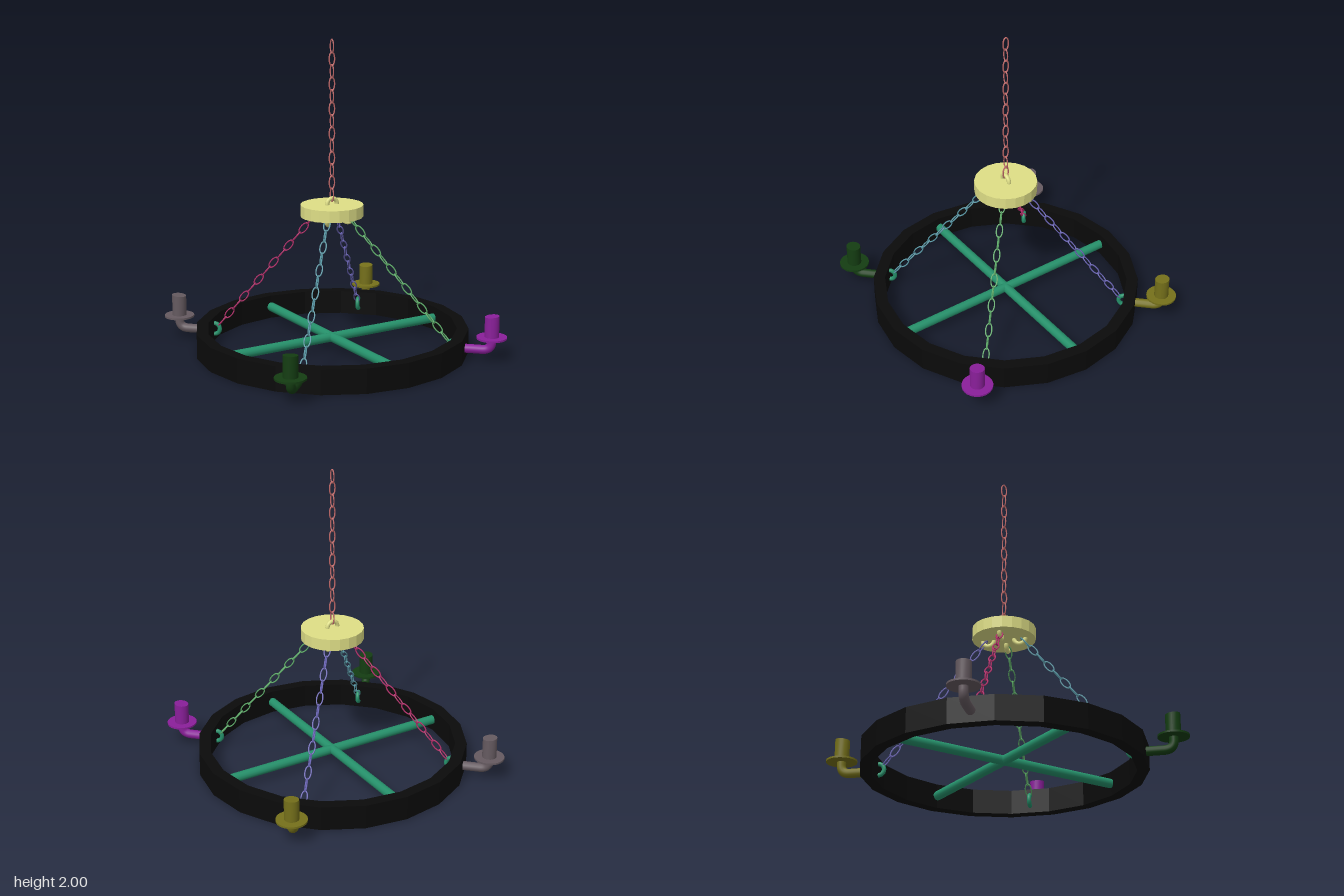
import * as THREE from 'three';

const mat = (color, flat = false) => new THREE.MeshStandardMaterial({ color, flatShading: flat });

function add(parent, name, geometry, material, x = 0, y = 0, z = 0) {
  const mesh = new THREE.Mesh(geometry, material);
  mesh.name = name;
  mesh.position.set(x, y, z);
  parent.add(mesh);
  return mesh;
}

// Oval chain link in the xy plane, long axis along y
function linkGeometry() {
  const points = [];
  for (let i = 0; i < 16; i++) {
    const a = (i / 16) * Math.PI * 2;
    points.push(new THREE.Vector3(0.0195 * Math.cos(a), 0.043 * Math.sin(a), 0));
  }
  return new THREE.TubeGeometry(new THREE.CatmullRomCurve3(points, true), 20, 0.0045, 6, true);
}

// Chain of links, each turned a quarter about the chain's own axis
function chain(name, geometry, color, start, step, count, tilt, firstTurned) {
  const group = new THREE.Group();
  group.name = name;
  const material = mat(color);
  for (let i = 0; i < count; i++) {
    const link = add(group, 'chainLink', geometry, material,
      start[0] + step[0] * i, start[1] + step[1] * i, 0);
    const turned = (i % 2 === 0) === firstTurned;
    link.rotation.set(0, turned ? Math.PI / 2 : 0, tilt, 'ZYX');
  }
  return group;
}

export function createModel() {
  const model = new THREE.Group();
  model.name = 'chandelier';
  const black = mat(0x0a0a0a, true);
  black.side = THREE.DoubleSide;
  const teal = mat(0x25906a);
  const cream = mat(0xdede86);
  const creamFlat = mat(0xdede86, true);

  // Faceted wheel rim
  const rim = [[0.8, 0], [0.875, 0], [0.875, 0.157], [0.8, 0.157], [0.8, 0]]
    .map(([r, y]) => new THREE.Vector2(r, y));
  add(model, 'wheelRim', new THREE.LatheGeometry(rim, 20), black);

  // Crossed spokes
  const spoke = new THREE.CylinderGeometry(0.03, 0.03, 1.62, 12);
  add(model, 'spokeAcross', spoke, teal, 0, 0.08, 0).rotation.z = Math.PI / 2;
  add(model, 'spokeAlong', spoke, teal, 0, 0.08, 0).rotation.x = Math.PI / 2;

  // Hub disc with its top eye
  add(model, 'hubDisc', new THREE.CylinderGeometry(0.2, 0.2, 0.075, 20), creamFlat, 0, 0.917, 0);
  const eye = new THREE.TorusGeometry(0.036, 0.014, 10, 24);
  add(model, 'topEye', eye, cream, 0, 0.957, 0);

  // Hanging chain
  const link = linkGeometry();
  model.add(chain('hangingChain', link, 0xc46a6a, [0, 1.953], [0, -0.078], 13, 0, true));

  // Candle arm shapes: elbow, drip pan and candle with a slightly sloping top
  const path = new THREE.CurvePath();
  const v = (x, y) => new THREE.Vector3(x, y, 0);
  path.add(new THREE.LineCurve3(v(0.85, 0.07), v(0.97, 0.07)));
  path.add(new THREE.QuadraticBezierCurve3(v(0.97, 0.07), v(1.03, 0.07), v(1.03, 0.125)));
  path.add(new THREE.LineCurve3(v(1.03, 0.125), v(1.03, 0.15)));
  const elbow = new THREE.TubeGeometry(path, 28, 0.029, 12);
  const pan = new THREE.CylinderGeometry(0.097, 0.097, 0.012, 24);
  const candle = new THREE.CylinderGeometry(0.046, 0.046, 0.138, 20);
  const pos = candle.attributes.position;
  for (let i = 0; i < pos.count; i++) {
    if (pos.getY(i) > 0) pos.setY(i, pos.getY(i) + pos.getX(i) * 0.1);
  }
  candle.computeVertexNormals();

  // Four diagonal assemblies: name, angle, arm colour, chain colour
  const quarters = [
    ['frontLeft', -1, 0x8a1f9a, 0x5fae6a],
    ['backLeft', 1, 0x75701a, 0x6c66b8],
    ['backRight', 3, 0x655a60, 0xb8326e],
    ['frontRight', -3, 0x143d12, 0x5a9aa8],
  ];
  const tilt = Math.atan2(0.0502, 0.0597);
  for (const [name, turn, armColor, chainColor] of quarters) {
    const quarter = new THREE.Group();
    quarter.name = name + 'Quarter';
    quarter.rotation.y = (turn * Math.PI) / 4;
    const armMat = mat(armColor);

    add(quarter, 'hubEye', eye, cream, 0.1, 0.88, 0);
    add(quarter, 'rimEye', eye, teal, 0.79, 0.08, 0);
    quarter.add(chain('supportChain', link, chainColor,
      [0.134, 0.85], [0.0502, -0.0597], 13, tilt, true));

    add(quarter, 'candleArm', elbow, armMat);
    add(quarter, 'dripPan', pan, armMat, 1.03, 0.152, 0);
    add(quarter, 'candle', candle, armMat, 1.03, 0.222, 0);
    model.add(quarter);
  }
  return model;
}
